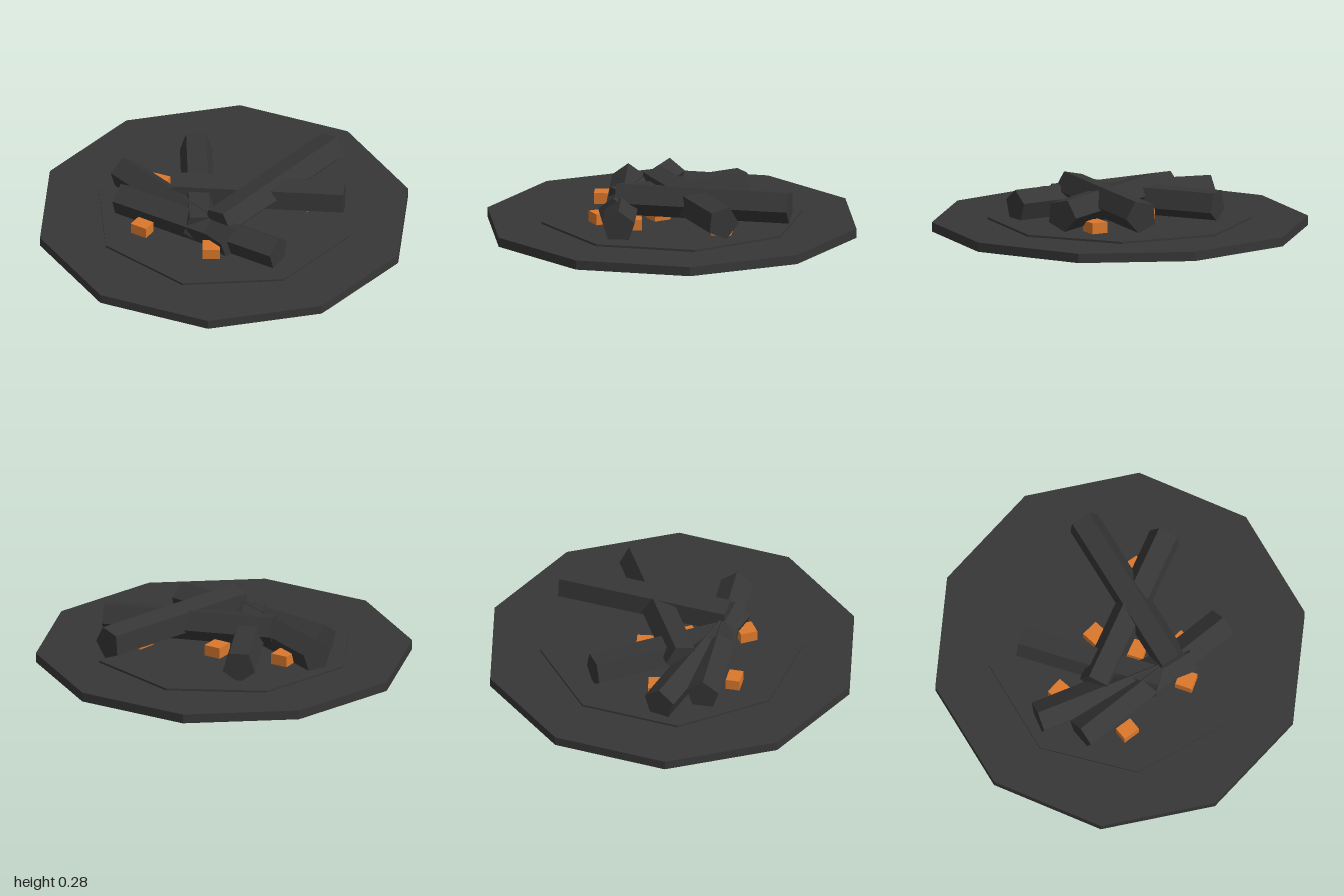
import * as THREE from 'three';

const mat = (name, color) => {
  const m = new THREE.MeshStandardMaterial({ color, flatShading: true });
  m.name = name;
  return m;
};

export function createModel() {
  const ash = mat('ash', 0x373737);
  const char = mat('charcoal', 0x363636);
  const ember = mat('ember', 0xdb782c);
  const model = new THREE.Group();
  model.name = 'burntCampfire';

  const add = (name, geometry, material, parent = model) => {
    const mesh = new THREE.Mesh(geometry, material);
    mesh.name = name;
    parent.add(mesh);
    return mesh;
  };

  // Scorched ground: a ten-sided slab with a thin eight-sided ash bed
  add('groundSlab', new THREE.CylinderGeometry(1, 1, 0.05, 10, 1, false, Math.PI / 2), ash).position.y = 0.025;
  add('ashBed', new THREE.CylinderGeometry(0.7, 0.7, 0.02, 8, 1, false, Math.PI / 8), ash).position.y = 0.051;

  // Charred five-sided logs: [x0, z0, x1, z1, centre height, roll in degrees]
  const logs = new THREE.Group();
  logs.name = 'logs';
  model.add(logs);
  [
    [-0.255, 0.176, 0.675, 0.166, 0.195, -24],
    [-0.145, -0.235, 0.39, 0.505, 0.177, 24],
    [-0.29, 0.08, 0.283, -0.44, 0.139, 36],
    [-0.255, 0.285, -0.142, -0.585, 0.127, 0],
    [-0.333, -0.435, -0.172, 0.53, 0.126, 0],
  ].forEach(([x0, z0, x1, z1, y, roll], i) => {
    const dx = x1 - x0, dz = z1 - z0;
    const g = new THREE.CylinderGeometry(0.09, 0.09, Math.hypot(dx, dz), 5);
    g.rotateX(-Math.PI / 2);
    g.rotateZ(THREE.MathUtils.degToRad(-roll));
    g.rotateY(Math.atan2(dx, dz));
    add('log' + (i + 1), g, char, logs).position.set((x0 + x1) / 2, y, (z0 + z1) / 2);
  });

  // Glowing embers: [x, z, width, depth, turn in degrees]
  const embers = new THREE.Group();
  embers.name = 'embers';
  model.add(embers);
  [
    [-0.427, -0.203, 0.075, 0.095, 8],
    [-0.065, -0.402, 0.095, 0.095, 18],
    [0.117, -0.078, 0.1, 0.095, 16],
    [-0.06, 0.066, 0.095, 0.095, 42],
    [-0.342, 0.207, 0.092, 0.092, 40],
    [-0.145, 0.29, 0.09, 0.09, 15],
    [0.335, 0.288, 0.105, 0.09, 5],
  ].forEach(([x, z, w, d, turn], i) => {
    const box = add('ember' + (i + 1), new THREE.BoxGeometry(w, 0.07, d), ember, embers);
    box.position.set(x, 0.085, z);
    box.rotation.y = THREE.MathUtils.degToRad(turn);
  });

  return model;
}
